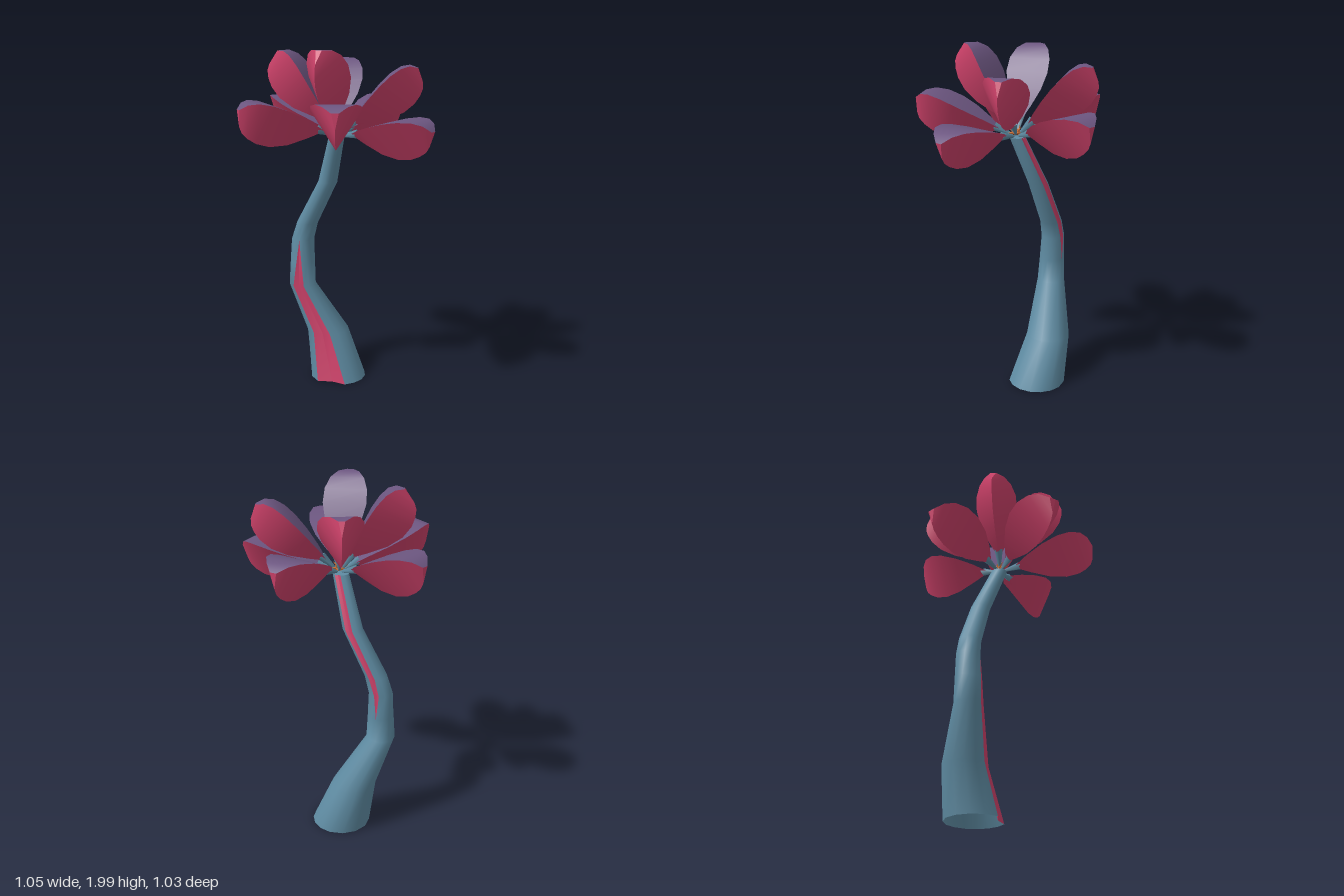
import * as THREE from 'three';
import { mergeGeometries, mergeVertices } from 'three/addons/utils/BufferGeometryUtils.js';

const mat = (name, color, side = THREE.FrontSide) => {
  const m = new THREE.MeshStandardMaterial({ color, side });
  m.name = name;
  return m;
};

// Surface through rows of points; front is (column direction) x (row direction)
function grid(rows) {
  const n = rows[0].length, index = [];
  for (let i = 0; i < rows.length - 1; i++)
    for (let j = 0; j < n - 1; j++) {
      const a = i * n + j, b = a + 1, d = a + n, c = d + 1;
      index.push(a, b, c, a, c, d);
    }
  const g = new THREE.BufferGeometry();
  g.setAttribute('position', new THREE.Float32BufferAttribute(rows.flat(2), 3));
  g.setIndex(index);
  g.computeVertexNormals();
  return g;
}

const mesh = (name, geometry, material) => {
  const m = new THREE.Mesh(geometry, material);
  m.name = name;
  return m;
};

// Stem rings: x, y, z, radius, half angle of front stripe, half angle of back stripe
const RINGS = [
  [-0.02, 0, -0.163, 0.165, 31, 0],
  [-0.09, 0.28, -0.215, 0.125, 24, 0],
  [-0.24, 0.57, -0.2, 0.08, 24, 0],
  [-0.238, 0.71, -0.204, 0.073, 13, 0],
  [-0.236, 0.85, -0.208, 0.067, 0, 12],
  [-0.208, 0.95, -0.2, 0.063, 0, 16],
  [-0.08, 1.21, -0.148, 0.056, 0, 21],
  [-0.018, 1.49, -0.04, 0.045, 0, 22],
];
const FRONT = -12, BACK = 154;

function ringPoint([x, y, z, r], degrees, scale = 1) {
  const a = THREE.MathUtils.degToRad(degrees);
  return [x + Math.sin(a) * r * scale, y, z + Math.cos(a) * r * scale];
}

function buildStem(mats) {
  const group = new THREE.Group();
  group.name = 'stem';
  const steps = 6;
  const shell = (from, to) => grid(RINGS.map((ring) => {
    const a = from(ring), b = to(ring);
    return Array.from({ length: steps + 1 }, (_, j) => ringPoint(ring, a + (b - a) * j / steps));
  }));
  const halves = mergeGeometries([
    shell((r) => FRONT + r[4], (r) => BACK - r[5]),
    shell((r) => BACK + r[5], (r) => FRONT + 360 - r[4]),
  ]);
  halves.deleteAttribute('normal');
  const tube = mergeVertices(halves, 1e-4);
  tube.computeVertexNormals();
  group.add(mesh('stemTube', tube, mats.stem));

  // Grooved stripes that fill the gaps of the tube, creased along the middle
  const stripe = (name, rings, centre, k) => {
    const edge = (r, side) => ringPoint(r, centre + side * r[k]);
    const middle = (r) => ringPoint(r, centre, 1 - r[k] * 0.008);
    group.add(mesh(name, mergeGeometries([
      grid(rings.map((r) => [edge(r, -1), middle(r)])),
      grid(rings.map((r) => [middle(r), edge(r, 1)])),
    ]), mats.petalOuter));
  };
  stripe('frontStripe', RINGS.slice(0, 5), FRONT, 4);
  stripe('backStripe', RINGS.slice(3), BACK, 5);

  const cap = mesh('stemCap', new THREE.CircleGeometry(0.044, 12).rotateX(-Math.PI / 2), mats.stem);
  cap.position.set(-0.018, 1.488, -0.04);
  group.add(cap);
  return group;
}

// Petal stations: rim position, rim half width, rim lift, keel position, keel depth
const STATIONS = [
  [0, 0.12, 0, 0, 0.08],
  [0.15, 0.46, 0.018, 0.15, 0.4],
  [0.35, 0.82, 0.033, 0.34, 0.76],
  [0.55, 1, 0.042, 0.53, 0.97],
  [0.72, 0.97, 0.042, 0.69, 1],
  [0.86, 0.77, 0.03, 0.8, 0.93],
  [0.95, 0.48, 0.005, 0.88, 0.82],
  [1, 0.14, -0.035, 0.93, 0.66],
];
const START = 0.1;

// Three-sided petal along local +x: arched inner face above, keeled outer faces below
function buildPetal(mats, length, halfWidth, depth) {
  const group = new THREE.Group();
  const span = length - START;
  const rows = STATIONS.map(([t, w, lift, k, d]) => {
    const x = START + span * t;
    return {
      left: [x, lift, -halfWidth * w],
      right: [x, lift, halfWidth * w],
      keel: [START + span * k, -depth * d, 0],
    };
  });
  const end = rows[rows.length - 1];
  group.add(mesh('petalInner', grid(rows.map((r) => [r.left, r.right])), mats.petalInner));
  group.add(mesh('petalOuter', mergeGeometries([
    grid(rows.map((r) => [r.right, r.keel])),
    grid(rows.map((r) => [r.keel, r.left])),
    grid([[end.left, end.right], [end.keel, end.keel]]),
  ]), mats.petalOuter));

  // Narrow claw joining the petal to the stem, with a small stamen at its root
  const claw = new THREE.CylinderGeometry(0.025, 0.007, 0.11, 4).rotateZ(-Math.PI / 2);
  group.add(mesh('petalClaw', claw.translate(0.075, -0.005, 0), mats.stem));
  const stamen = new THREE.ConeGeometry(0.011, 0.055, 4).rotateZ(-Math.PI / 2);
  group.add(mesh('stamen', stamen.translate(0.032, 0.012, 0.012), mats.stamen));
  return group;
}

// Petals: name, azimuth from +x towards +z, elevation, length, half width, depth
const PETALS = [
  ['upperFrontPetal', 103, 61, 0.575, 0.12, 0.175],
  ['upperRightPetal', 188, 57, 0.57, 0.12, 0.18],
  ['upperBackPetal', 270, 47, 0.565, 0.12, 0.165],
  ['upperLeftPetal', 359, 44, 0.575, 0.12, 0.165],
  ['lowerFrontPetal', 86, 23, 0.59, 0.135, 0.175],
  ['lowerFrontLeftPetal', 28, 10, 0.6, 0.135, 0.17],
  ['lowerFrontRightPetal', 151, 20, 0.6, 0.135, 0.18],
  ['lowerBackRightPetal', 223, 18, 0.585, 0.135, 0.175],
  ['lowerBackLeftPetal', 306, 18, 0.59, 0.14, 0.175],
];

export function createModel() {
  const mats = {
    stem: mat('stemBlue', 0x5f8ca3, THREE.DoubleSide),
    petalOuter: mat('petalRed', 0xcc4169, THREE.DoubleSide),
    petalInner: mat('petalPurple', 0x6c5680),
    stamen: mat('stamenOrange', 0xd9783c),
  };
  const model = new THREE.Group();
  model.name = 'flower';
  model.add(buildStem(mats));

  const blossom = new THREE.Group();
  blossom.name = 'blossom';
  blossom.position.set(-0.01, 1.5, -0.035);
  for (const [name, azimuth, elevation, length, halfWidth, depth] of PETALS) {
    const petal = buildPetal(mats, length, halfWidth, depth);
    petal.name = name;
    petal.rotation.order = 'YZX';
    petal.rotation.y = -THREE.MathUtils.degToRad(azimuth);
    petal.rotation.z = THREE.MathUtils.degToRad(elevation);
    blossom.add(petal);
  }
  model.add(blossom);
  return model;
}
